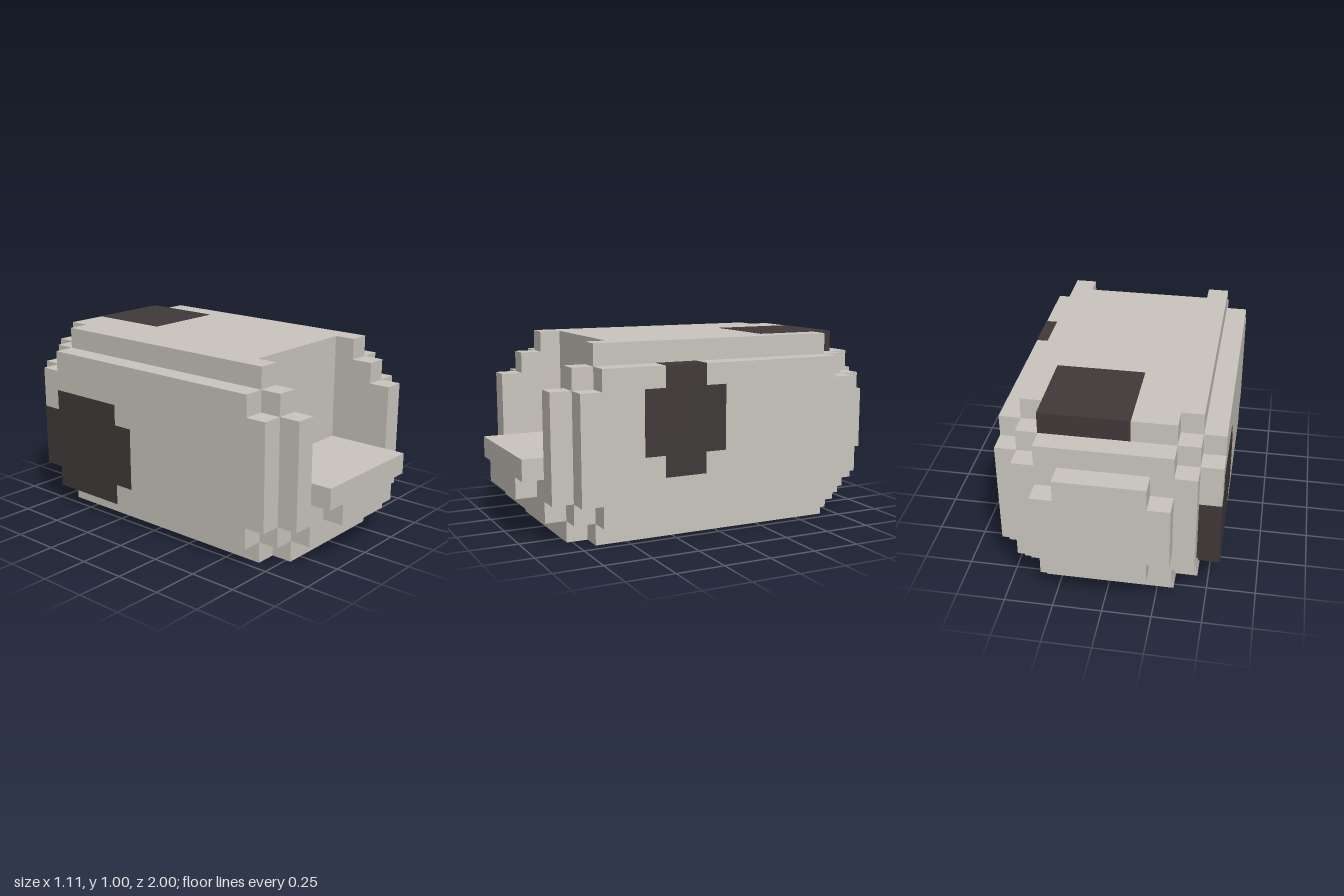
import * as THREE from 'three';

const U = 1 / 9; // edge of one building block
const EPS = 0.0015; // patches stand this far proud of the body

export function createModel() {
  const model = new THREE.Group();
  model.name = 'blockyBody';

  const stone = new THREE.MeshStandardMaterial({ color: 0xcac6be });
  stone.name = 'pale stone';
  const dark = new THREE.MeshStandardMaterial({ color: 0x403a39 });
  dark.name = 'dark patch';

  // Box between block coordinates [x0, x1, y0, y1, z0, z1]
  function block(group, material, [x0, x1, y0, y1, z0, z1], grow = 0) {
    const geo = new THREE.BoxGeometry(
      (x1 - x0) * U + 2 * grow, (y1 - y0) * U + 2 * grow, (z1 - z0) * U + 2 * grow);
    geo.translate((x0 + x1) * U / 2, (y0 + y1) * U / 2, (z0 + z1) * U / 2);
    const mesh = new THREE.Mesh(geo, material);
    mesh.name = group.name + 'Block';
    group.add(mesh);
  }

  function part(name, material, boxes, grow) {
    const group = new THREE.Group();
    group.name = name;
    boxes.forEach((b) => block(group, material, b, grow));
    model.add(group);
  }

  // Solid core, with a floor in front below the open recess
  part('core', stone, [[-4, 4, 1, 8, -7, 5], [-4, 4, 1, 4, 5, 7]]);

  // Stepped layers on the top, bottom, back and front
  part('topLayer', stone, [[-4, 4, 8, 9, -6, 5], [-3, 3, 8, 9, -7, -6]]);
  part('bottomLayer', stone, [[-4, 4, 0, 1, -6, 6], [-3, 3, 0, 1, -7, 7]]);
  part('backLayer', stone, [[-4, 4, 2, 7, -8, -7], [-3, 3, 1, 8, -8, -7]]);
  part('frontLayer', stone, [[-4, 4, 2, 4, 7, 8], [-3, 3, 1, 2, 7, 8]]);

  // Side layers and the walls flanking the recess, mirrored
  for (const [side, s] of [['left', 1], ['right', -1]]) {
    const mirror = ([a, b, ...rest]) => (s > 0 ? [a, b, ...rest] : [-b, -a, ...rest]);
    part(side + 'SideLayer', stone,
      [[4, 5, 1, 8, -6, 6], [4, 5, 2, 7, -7, 7]].map(mirror));
    part(side + 'RecessWall', stone,
      [[3, 4, 4, 8, 5, 7], [3, 4, 4, 7, 7, 8], [3, 4, 8, 9, 5, 6]].map(mirror));
  }

  // Ledge jutting from the recess, and the raised plate at the back
  part('frontLedge', stone, [[-3, 3, 3, 4, 8, 9], [-2, 2, 2, 3, 8, 9]]);
  part('backPlate', stone, [[-3, 3, 3, 6, -9, -8], [-2, 2, 2, 7, -9, -8]]);

  // Dark patches, wrapping over the edges they reach
  part('topPatch', dark, [[-1, 3, 8, 9, -7, -3]], EPS);
  part('leftPatch', dark, [[4, 5, 4, 7, 0, 4], [4, 5, 3, 8, 1, 3]], EPS);
  part('rightPatch', dark, [[-5, -4, 2, 5, -7, -1], [-5, -4, 1, 6, -6, -2]], EPS);

  return model;
}
